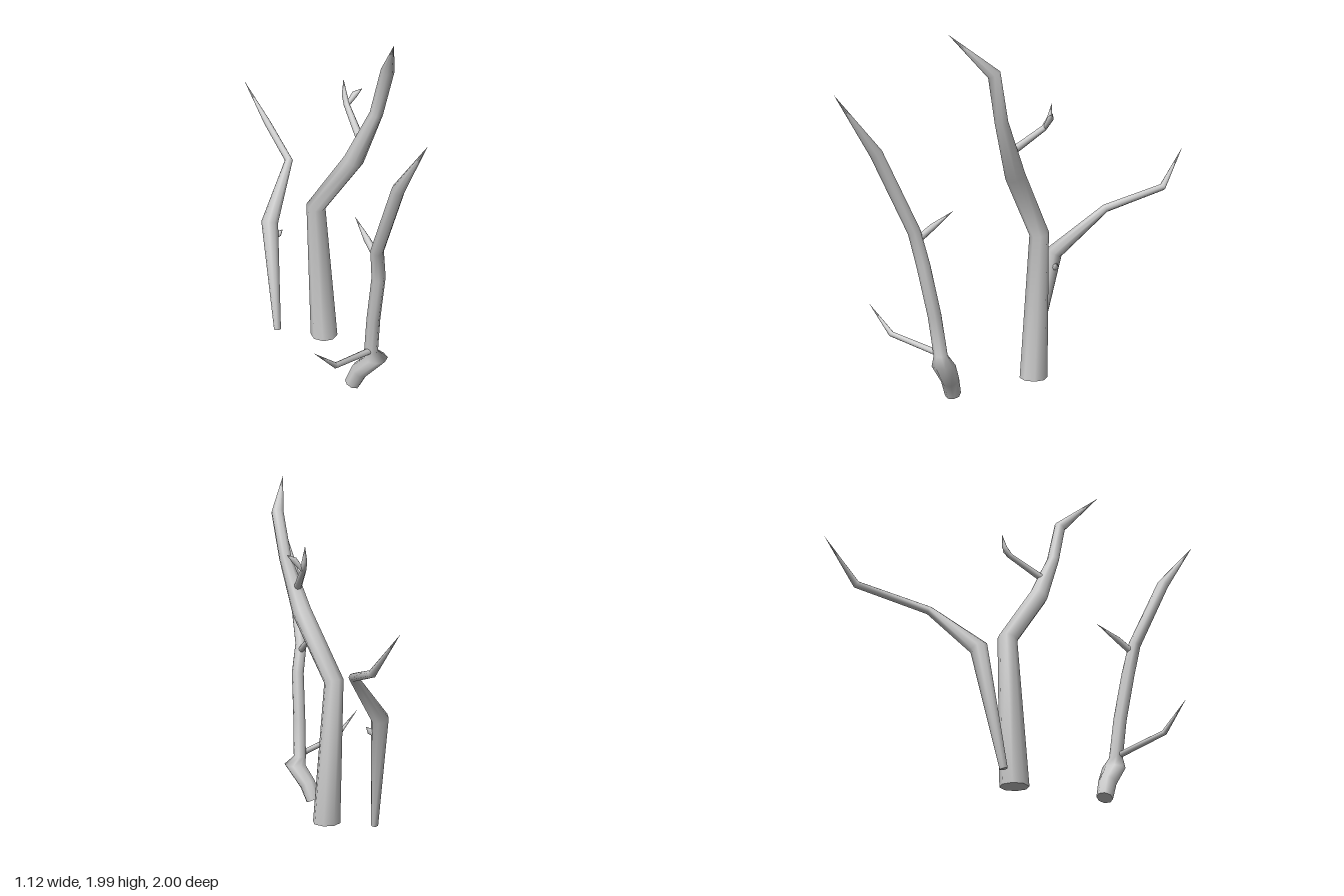
import * as THREE from 'three';

const SIDES = 8;

// Tapering limb through rows of [x, y, z, radius, level?]; radius 0 ends in a point, level keeps that ring horizontal
function limb(name, rows, material) {
  const points = rows.map(r => new THREE.Vector3(r[0], r[1], r[2]));
  const positions = [], index = [];
  const last = rows.length - 1;
  const stride = SIDES;
  const direction = i => points[i + 1].clone().sub(points[i]).normalize();
  const side = new THREE.Vector3(1, 0, 0);

  rows.forEach((row, i) => {
    // Ring plane halves the bend between neighbouring segments
    const normal = new THREE.Vector3();
    if (i > 0) normal.add(direction(i - 1));
    if (i < last) normal.add(direction(i));
    if (row[4]) normal.set(0, 1, 0);
    normal.normalize();
    side.addScaledVector(normal, -side.dot(normal)).normalize();
    const up = new THREE.Vector3().crossVectors(side, normal);
    for (let j = 0; j < SIDES; j++) {
      const a = (j / SIDES) * Math.PI * 2;
      const p = points[i].clone()
        .addScaledVector(side, Math.cos(a) * row[3])
        .addScaledVector(up, Math.sin(a) * row[3]);
      positions.push(p.x, p.y, p.z);
    }
  });

  for (let i = 0; i < last; i++) {
    for (let j = 0; j < SIDES; j++) {
      const a = i * stride + j, b = i * stride + (j + 1) % SIDES;
      index.push(a, a + stride, b);
      if (rows[i + 1][3] > 0) index.push(b, a + stride, b + stride);
    }
  }

  // Flat cut at the lower end, with its own corners for a sharp rim
  const cap = positions.length / 3;
  positions.push(...positions.slice(0, SIDES * 3));
  for (let j = 1; j < SIDES - 1; j++) index.push(cap, cap + j, cap + j + 1);

  const geometry = new THREE.BufferGeometry();
  geometry.setAttribute('position', new THREE.Float32BufferAttribute(positions, 3));
  geometry.setIndex(index);
  geometry.computeVertexNormals();
  const mesh = new THREE.Mesh(geometry, material);
  mesh.name = name;
  return mesh;
}

export function createModel() {
  const model = new THREE.Group();
  model.name = 'bareBranches';
  const bark = new THREE.MeshStandardMaterial({ color: 0xcccccc, side: THREE.DoubleSide });

  const plants = {
    // Tall central trunk with a forked side twig
    middleTree: {
      trunk: [[0.017, 0.04, -0.04, 0.08, 1], [-0.033, 0.87, -0.075, 0.056], [0.187, 1.23, 0.075, 0.056],
        [0.305, 1.53, 0.155, 0.036], [0.36, 1.785, 0.195, 0.036], [0.39, 1.99, 0.43, 0]],
      sideTwig: [[0.215, 1.37, 0.09, 0.022], [0.137, 1.485, -0.085, 0.017],
        [0.122, 1.535, -0.115, 0.015], [0.115, 1.62, -0.13, 0]],
      forkTwig: [[0.14, 1.485, -0.09, 0.012], [0.18, 1.54, -0.115, 0.018], [0.22, 1.57, -0.125, 0]],
    },
    // Front trunk rising from a bulging, kinked foot
    frontTree: {
      trunk: [[0.21, 0.02, 0.425, 0.045], [0.25, 0.115, 0.44, 0.05], [0.34, 0.225, 0.475, 0.065, 1],
        [0.312, 0.275, 0.49, 0.038, 1], [0.322, 0.5, 0.52, 0.037], [0.345, 0.78, 0.575, 0.037],
        [0.335, 0.96, 0.62, 0.035], [0.433, 1.39, 0.805, 0.034], [0.56, 1.7, 1, 0]],
      lowerBranch: [[0.31, 0.285, 0.5, 0.018], [0.135, 0.35, 0.76, 0.016], [0.03, 0.5, 0.885, 0]],
      upperTwig: [[0.335, 0.915, 0.605, 0.02], [0.28, 0.975, 0.525, 0.018], [0.21, 1.05, 0.41, 0]],
    },
    // Back limb reaching far behind
    backTree: {
      trunk: [[-0.265, 0.05, -0.06, 0.021], [-0.315, 0.7, -0.19, 0.05], [-0.228, 0.975, -0.48, 0.024],
        [-0.4, 1.07, -0.85, 0.021], [-0.56, 1.29, -1, 0]],
      stub: [[-0.29, 0.605, -0.185, 0.014], [-0.262, 0.625, -0.195, 0.018], [-0.24, 0.65, -0.2, 0]],
    },
  };

  for (const [plantName, limbs] of Object.entries(plants)) {
    const plant = new THREE.Group();
    plant.name = plantName;
    for (const [name, rows] of Object.entries(limbs)) plant.add(limb(name, rows, bark));
    model.add(plant);
  }
  return model;
}
